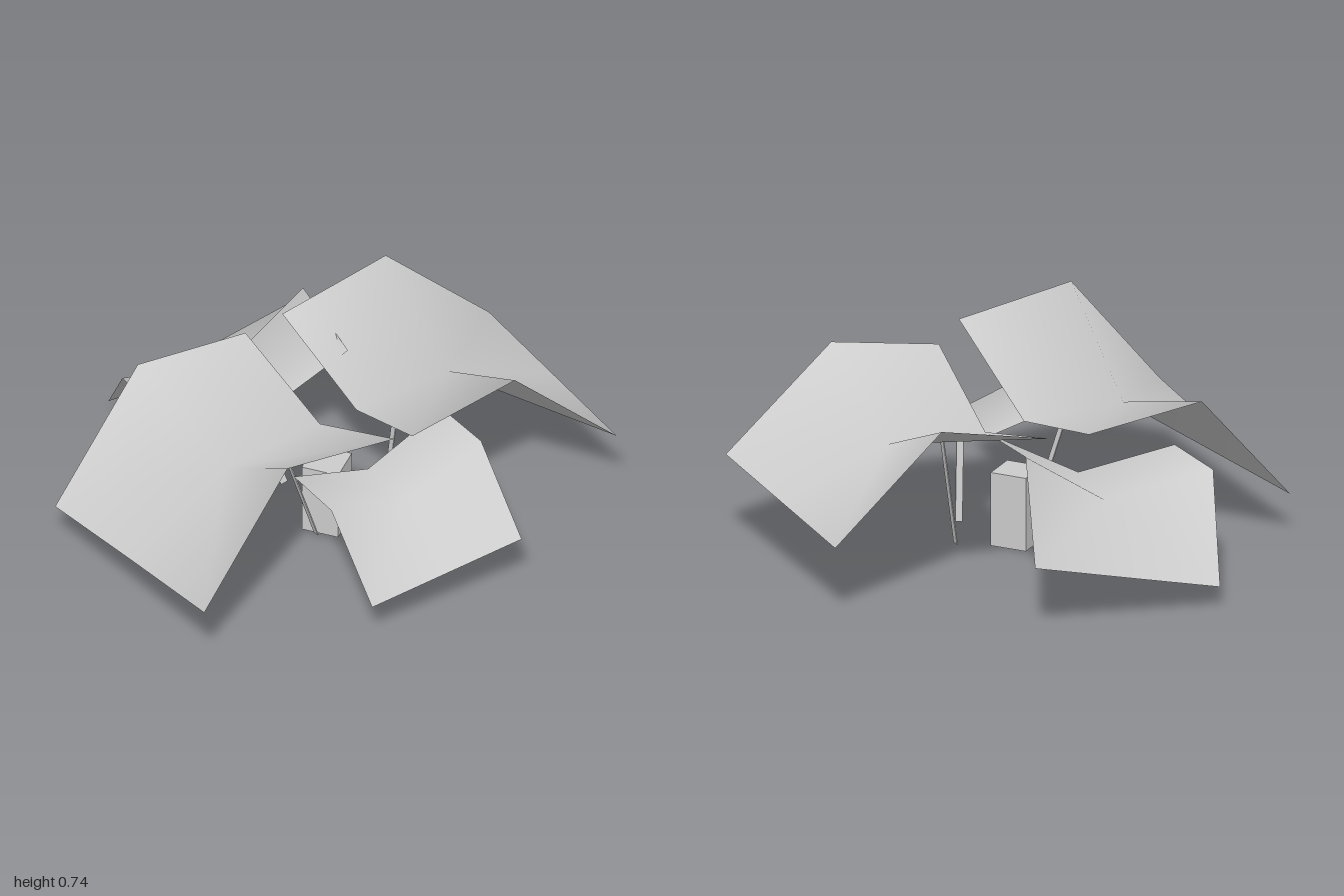
import * as THREE from 'three';

// Smooth sheet: rows run inner edge, ridge, outer edge, fanned around the middle point
function sheetGeometry(rows) {
  const rim = [0, 1, 2, 5, 8, 7, 6, 3];
  const index = rim.flatMap((p, k) => [p, rim[(k + 1) % rim.length], 4]);
  const geometry = new THREE.BufferGeometry();
  geometry.setAttribute('position', new THREE.Float32BufferAttribute(rows.flat(2), 3));
  geometry.setIndex(index);
  geometry.computeVertexNormals();
  return geometry;
}

// Flat plank between two points, its broad side parallel to the sheet's inner edge
function postMesh([from, to], innerEdge, material) {
  const a = new THREE.Vector3(...from), b = new THREE.Vector3(...to);
  const up = b.clone().sub(a);
  const mesh = new THREE.Mesh(new THREE.BoxGeometry(0.027, up.length(), 0.004), material);
  up.normalize();
  const [start, , end] = innerEdge;
  const along = new THREE.Vector3(end[0] - start[0], 0, end[2] - start[2]);
  const out = along.cross(up).normalize();
  const wide = up.clone().cross(out);
  mesh.quaternion.setFromRotationMatrix(new THREE.Matrix4().makeBasis(wide, up, out));
  mesh.position.copy(a).add(b).multiplyScalar(0.5);
  return mesh;
}

export function createModel() {
  const model = new THREE.Group();
  model.name = 'canopyPavilion';
  const sheetGrey = new THREE.MeshStandardMaterial({ color: 0xcccccc, side: THREE.DoubleSide });
  sheetGrey.name = 'light grey';

  const canopies = [
    {
      name: 'backLeftCanopy',
      rows: [
        [[0.39, 0.62, 0.183], [0.07, 0.44, -0.11], [-0.31, 0.57, -0.38]],
        [[0.652, 0.70, -0.15], [0.305, 0.46, -0.41], [-0.045, 0.665, -0.71]],
        [[0.93, 0.327, -0.43], [0.582, 0.304, -0.715], [0.234, 0.281, -1.0]],
      ],
      post: [[0.15, 0.035, -0.185], [0.175, 0.443, -0.245]],
    },
    {
      name: 'frontRightCanopy',
      rows: [
        [[-0.40, 0.555, -0.25], [-0.018, 0.45, 0.022], [0.364, 0.68, 0.293]],
        [[-0.67, 0.60, 0.11], [-0.24, 0.44, 0.37], [0.10, 0.74, 0.66]],
        [[-0.853, 0.165, 0.45], [-0.47, 0.228, 0.72], [-0.087, 0.291, 0.995]],
      ],
      post: [[0.0, 0.028, 0.105], [-0.11, 0.438, 0.165]],
    },
    {
      name: 'backRightCanopy',
      rows: [
        [[-0.04, 0.524, -0.32], [-0.28, 0.338, -0.085], [-0.54, 0.40, 0.16]],
        [[-0.30, 0.56, -0.56], [-0.49, 0.35, -0.32], [-0.78, 0.41, -0.03]],
        [[-0.46, 0.256, -0.82], [-0.695, 0.168, -0.555], [-0.93, 0.081, -0.29]],
      ],
      post: [[-0.22, 0.004, -0.16], [-0.35, 0.338, -0.155]],
    },
    {
      name: 'frontLeftCanopy',
      rows: [
        [[-0.015, 0.408, 0.29], [0.178, 0.33, 0.06], [0.37, 0.485, -0.17]],
        [[0.19, 0.435, 0.46], [0.375, 0.345, 0.19], [0.583, 0.523, 0.005]],
        [[0.395, 0.159, 0.597], [0.59, 0.198, 0.367], [0.785, 0.237, 0.137]],
      ],
      post: [[0.24, 0.028, 0.03], [0.275, 0.338, 0.115]],
    },
  ];

  // Each canopy is a saddle-folded sheet on a leaning plank
  for (const { name, rows, post } of canopies) {
    const group = new THREE.Group();
    group.name = name;
    const sheet = new THREE.Mesh(sheetGeometry(rows), sheetGrey);
    sheet.name = 'sheet';
    const leg = postMesh(post, rows[0], sheetGrey);
    leg.name = 'post';
    group.add(sheet, leg);
    model.add(group);
  }

  // Upright block in the middle
  const block = new THREE.Mesh(new THREE.BoxGeometry(0.137, 0.275, 0.137), sheetGrey);
  block.name = 'centreBlock';
  block.position.set(-0.001, 0.1375, -0.003);
  model.add(block);

  return model;
}
